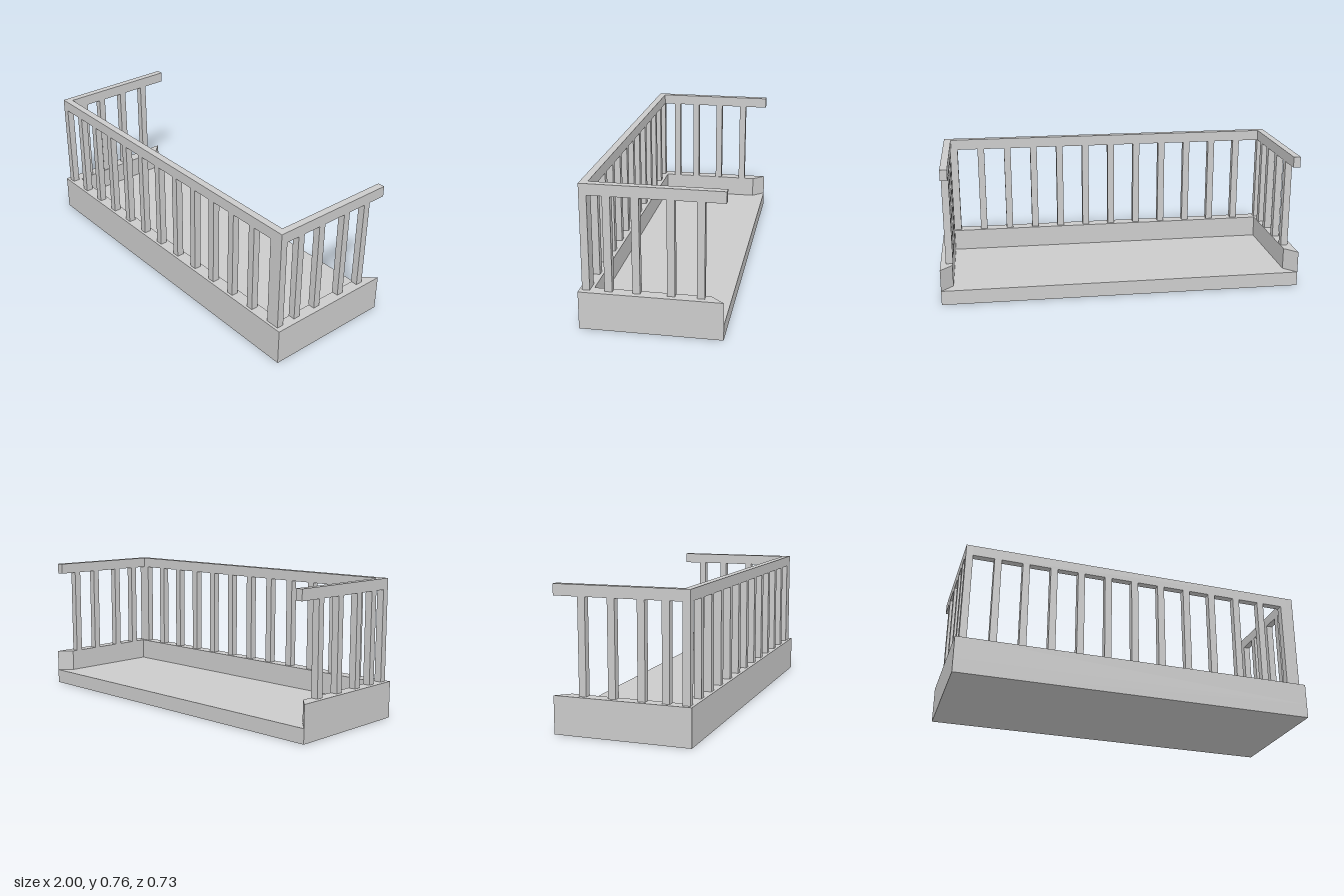
import * as THREE from 'three';

const material = new THREE.MeshStandardMaterial({ color: 0xcccccc, flatShading: true });

export function createModel() {
  const model = new THREE.Group();
  model.name = 'balcony';

  // Box given by its limits on each axis
  const addBox = (name, x0, x1, y0, y1, z0, z1) => {
    const geometry = new THREE.BoxGeometry(x1 - x0, y1 - y0, z1 - z0);
    const mesh = new THREE.Mesh(geometry, material);
    mesh.position.set((x0 + x1) / 2, (y0 + y1) / 2, (z0 + z1) / 2);
    mesh.name = name;
    model.add(mesh);
  };

  const floorTop = 0.08, wallTop = 0.2, railBottom = 0.698, railTop = 0.757;
  const front = 0.35, post = 0.039;
  const leftX = 0.932, rightX = -0.977; // lower x limit of each side railing

  // Floor slab
  addBox('floor', -1, 1, 0, floorTop, -0.365, 0.365);

  // Low U-shaped wall, open at the back with mitred ends
  const outline = [
    [-1, 0.365], [-1, -0.365], [1, -0.365], [1, 0.365],
    [0.935, 0.295], [0.935, -0.295], [-0.935, -0.295], [-0.935, 0.295],
  ].map(([x, y]) => new THREE.Vector2(x, y));
  const wallGeometry = new THREE.ExtrudeGeometry(new THREE.Shape(outline), {
    depth: wallTop - floorTop, bevelEnabled: false,
  });
  wallGeometry.rotateX(-Math.PI / 2);
  const wall = new THREE.Mesh(wallGeometry, material);
  wall.position.y = floorTop;
  wall.name = 'lowWall';
  model.add(wall);

  // Handrails
  addBox('frontRail', rightX + post, leftX, railBottom, railTop, front - post, front);
  for (const [name, x] of [['leftRail', leftX], ['rightRail', rightX]]) {
    addBox(name, x, x + post, railBottom, railTop, -0.367, front);
  }

  // Front balusters
  for (let i = 0; i < 13; i++) {
    const x = rightX + i * 0.156;
    addBox('frontBaluster', x, x + post, wallTop, railBottom, front - post, front);
  }

  // Side balusters, listed by their front edges
  const addSide = (name, x, edges) => edges.forEach((z) =>
    addBox(name, x, x + post, wallTop, railBottom, z - post, z));
  addSide('leftBaluster', leftX, [front, 0.235, 0.094, -0.08, -0.227]);
  addSide('rightBaluster', rightX, [0.245, 0.118, -0.038, -0.196]);

  return model;
}
